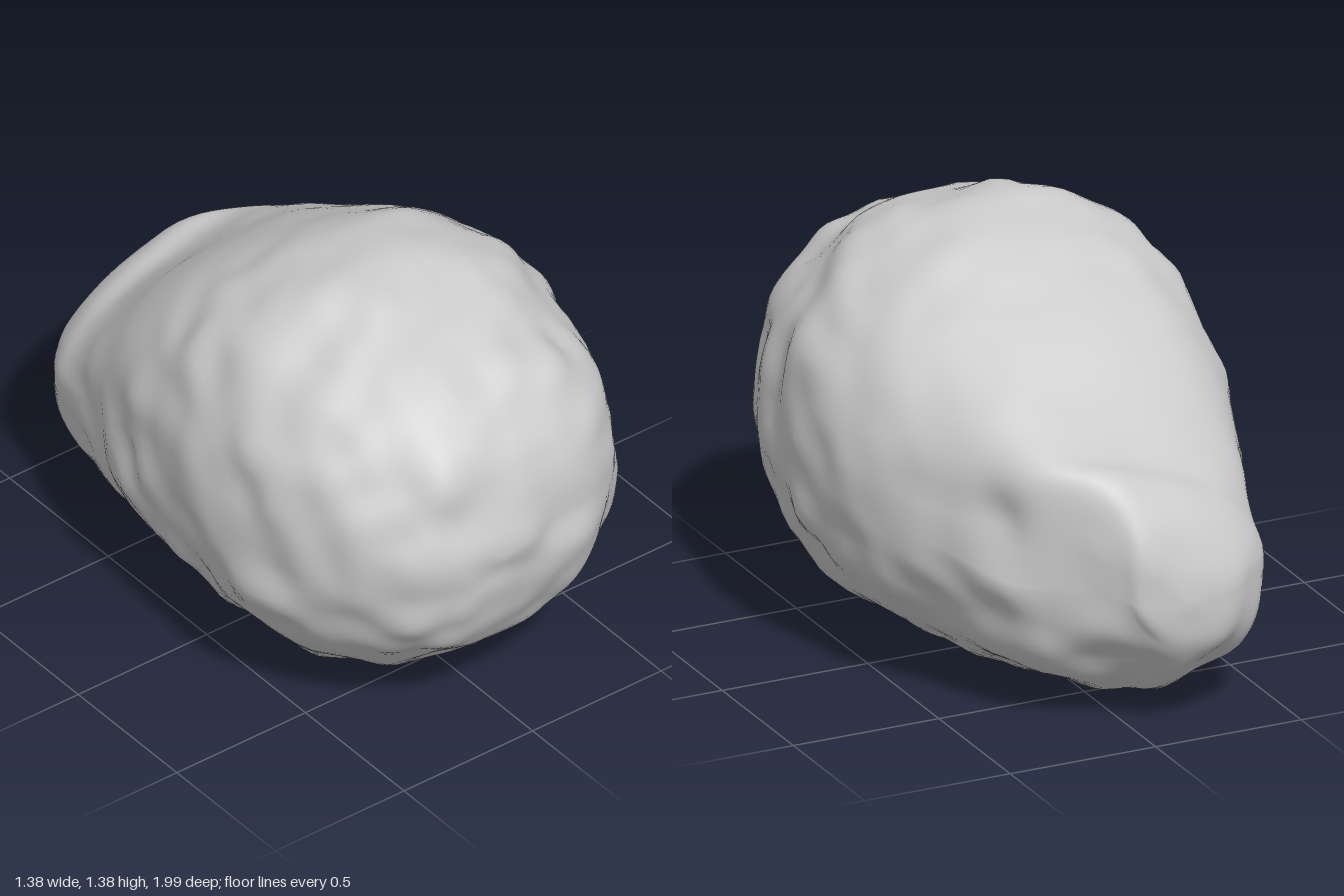
import * as THREE from 'three';

// Stations from back to front: z, right edge, left edge, bottom, top
const STATIONS = [
  [-1.0, -0.12, -0.12, 0.46, 0.46], [-0.98, -0.28, 0.03, 0.32, 0.62], [-0.92, -0.37, 0.09, 0.23, 0.77],
  [-0.83, -0.44, 0.19, 0.15, 0.87], [-0.72, -0.48, 0.33, 0.10, 0.92], [-0.58, -0.53, 0.42, 0.07, 1.01],
  [-0.4, -0.58, 0.53, 0.06, 1.13], [-0.2, -0.64, 0.63, 0.06, 1.25], [0, -0.67, 0.67, 0.05, 1.35],
  [0.22, -0.68, 0.68, 0.03, 1.395], [0.42, -0.66, 0.65, 0.02, 1.36], [0.58, -0.62, 0.60, 0.10, 1.295],
  [0.73, -0.54, 0.54, 0.21, 1.215], [0.84, -0.45, 0.44, 0.31, 1.12], [0.92, -0.36, 0.29, 0.44, 1.0],
  [0.97, -0.24, 0.08, 0.57, 0.85], [0.995, -0.10, -0.10, 0.71, 0.71],
];
const RINGS = 84, SIDES = 100;
const { lerp, smoothstep } = THREE.MathUtils;

// Smooth value noise on a hashed lattice, in -1..1
function hash(x, y, z) {
  let h = Math.imul(x, 374761393) ^ Math.imul(y, 668265263) ^ Math.imul(z, 2147483647 - 91);
  h = Math.imul(h ^ (h >>> 13), 1274126177);
  return ((h ^ (h >>> 16)) >>> 0) / 2147483648 - 1;
}
function noise(x, y, z) {
  const i = [x, y, z].map(Math.floor);
  const f = [x - i[0], y - i[1], z - i[2]].map((t) => t * t * (3 - 2 * t));
  let sum = 0;
  for (let c = 0; c < 8; c++) {
    const d = [c & 1, (c >> 1) & 1, c >> 2];
    const w = d.reduce((p, on, k) => p * (on ? f[k] : 1 - f[k]), 1);
    sum += w * hash(i[0] + d[0], i[1] + d[1], i[2] + d[2]);
  }
  return sum;
}

// Superellipse coordinate
const bend = (t, n) => Math.sign(t) * Math.pow(Math.abs(t), 2 / n);

// Local hollows and knobs: centre, radius, depth along the normal
const DENTS = [
  [new THREE.Vector3(0.4, 0.7, -0.66), 0.1, -0.04],
  [new THREE.Vector3(-0.12, 0.68, 0.97), 0.08, -0.02],
  [new THREE.Vector3(0.36, 0.55, 0.8), 0.1, -0.02],
  [new THREE.Vector3(0.28, 1.14, 0.66), 0.07, 0.02],
];

function boulderGeometry() {
  const curve = (a, b) => new THREE.CatmullRomCurve3(
    STATIONS.map((s) => new THREE.Vector3(s[0], s[a], s[b])), false, 'catmullrom');
  const widths = curve(1, 2), heights = curve(3, 4);
  const first = STATIONS[0], last = STATIONS[STATIONS.length - 1];
  const pos = [first[1], first[3], first[0]];
  const index = [];

  // Lofted cross-sections; at the back the top falls from a left-hand crest to the right
  for (let r = 1; r < RINGS; r++) {
    const w = widths.getPoint(r / RINGS), h = heights.getPoint(r / RINGS);
    const z = w.x, cx = (w.y + w.z) / 2, rx = (w.z - w.y) / 2;
    const back = smoothstep(-z, -0.1, 0.7);
    const tilt = 0.6 * smoothstep(-z, 0.3, 0.9);
    const cy = lerp(h.y, h.z, 0.5);
    for (let s = 0; s < SIDES; s++) {
      const a = (s / SIDES) * Math.PI * 2;
      const c = Math.cos(a), sn = Math.sin(a);
      const upper = c > 0 ? 2.1 + 0.5 * back + 3 * tilt : 2.35 + 0.3 * back;
      const lower = c > 0 ? 2.15 - 0.35 * back : 2.1 + 0.4 * back;
      const n = sn > 0 ? upper : lower;
      const u = bend(c, n);
      const rise = (h.z - cy) * (1 + 0.25 * tilt) * (1 - tilt * (1 - u) / 2);
      pos.push(cx + rx * u, cy + (sn > 0 ? rise : cy - h.y) * bend(sn, n), z);
    }
  }
  pos.push(last[1], last[3], last[0]);

  // Skin the rings and close both ends
  const end = pos.length / 3 - 1;
  const at = (r, s) => 1 + r * SIDES + (s % SIDES);
  for (let s = 0; s < SIDES; s++) {
    index.push(0, at(0, s + 1), at(0, s));
    for (let r = 0; r < RINGS - 2; r++) {
      index.push(at(r, s), at(r, s + 1), at(r + 1, s + 1), at(r, s), at(r + 1, s + 1), at(r + 1, s));
    }
    index.push(end, at(RINGS - 2, s), at(RINGS - 2, s + 1));
  }
  const geo = new THREE.BufferGeometry();
  geo.setAttribute('position', new THREE.Float32BufferAttribute(pos, 3));
  geo.setIndex(index);
  geo.computeVertexNormals();

  // Lumps and pits along the normals, calmer on the sloping back face
  const p = geo.attributes.position, nrm = geo.attributes.normal;
  const v = new THREE.Vector3(), n = new THREE.Vector3();
  for (let i = 0; i < p.count; i++) {
    v.fromBufferAttribute(p, i);
    n.fromBufferAttribute(nrm, i);
    const calm = smoothstep(-v.z, -0.1, 0.4) * smoothstep(n.y - n.z, 0.2, 0.9);
    let d = 0.01 * noise(v.x * 4.5, v.y * 4.5, v.z * 4.5) + 0.02 * noise(v.x * 8 + 7, v.y * 8, v.z * 8);
    d *= 1 - 0.8 * calm;
    for (const [centre, radius, depth] of DENTS) {
      d += depth * Math.exp(-v.distanceToSquared(centre) / (radius * radius));
    }
    v.addScaledVector(n, d);
    p.setXYZ(i, v.x, v.y, v.z);
  }

  // Settle on the ground
  geo.computeBoundingBox();
  geo.translate(0, -geo.boundingBox.min.y, 0);
  geo.computeVertexNormals();
  return geo;
}

export function createModel() {
  const group = new THREE.Group();
  group.name = 'rock';
  const boulder = new THREE.Mesh(boulderGeometry(), new THREE.MeshStandardMaterial({ color: 0xcccccc }));
  boulder.name = 'boulder';
  group.add(boulder);
  return group;
}
